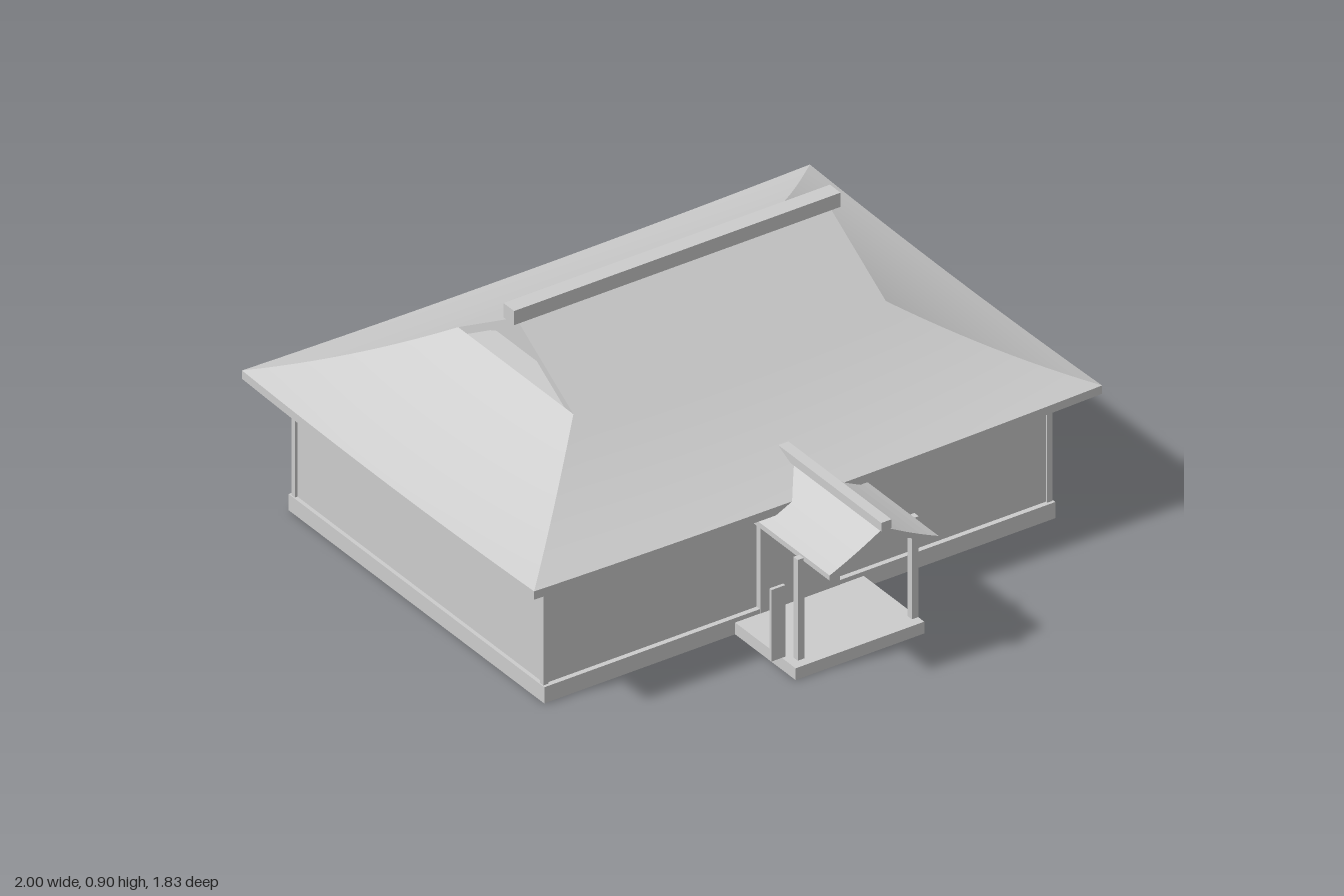
import * as THREE from 'three';

const HALF_RIDGE = 0.55;   // half length of the gabled top
const GABLE = 0.293;       // half depth of the gable
const SKIRT = 0.45;        // run of the hipped skirt
const THICK = 0.028;
const ROOF_Z = -0.173;

export function createModel() {
  const model = new THREE.Group();
  const grey = new THREE.MeshStandardMaterial({ color: 0xcccccc, side: THREE.DoubleSide });
  grey.name = 'plain grey';

  const add = (name, geometry, parent = model) => {
    const mesh = new THREE.Mesh(geometry, grey);
    mesh.name = name;
    parent.add(mesh);
    return mesh;
  };
  // Box given by its lower and upper limits
  const box = (name, x0, x1, y0, y1, z0, z1, parent) => {
    const mesh = add(name, new THREE.BoxGeometry(x1 - x0, y1 - y0, z1 - z0), parent);
    mesh.position.set((x0 + x1) / 2, (y0 + y1) / 2, (z0 + z1) / 2);
    return mesh;
  };
  // Smooth grid surface from a rule, u and v running 0..1
  const surface = (fn, nu, nv) => {
    const pos = [], idx = [];
    for (let j = 0; j <= nv; j++)
      for (let i = 0; i <= nu; i++) pos.push(...fn(i / nu, j / nv));
    for (let j = 0; j < nv; j++)
      for (let i = 0; i < nu; i++) {
        const a = j * (nu + 1) + i, b = a + nu + 1;
        idx.push(a, b, a + 1, a + 1, b, b + 1);
      }
    const g = new THREE.BufferGeometry();
    g.setAttribute('position', new THREE.Float32BufferAttribute(pos, 3));
    g.setIndex(idx);
    g.computeVertexNormals();
    return g;
  };

  // Plinth, walls and corner posts
  box('plinth', -0.9, 0.9, 0, 0.055, -0.823, 0.477);
  box('walls', -0.887, 0.887, 0.055, 0.45, -0.808, 0.46);
  for (const x of [-0.887, 0.887])
    for (const z of [-0.806, 0.458])
      box('cornerPost', x - 0.009, x + 0.009, 0.055, 0.45, z - 0.009, z + 0.009);

  // Door and window heads on the front wall
  box('door', -0.14, 0.14, 0.04, 0.38, 0.455, 0.478);
  for (const x of [-0.57, 0.57])
    box('windowHead', x - 0.155, x + 0.155, 0.358, 0.363, 0.455, 0.473);

  // Main roof: steep gabled top flowing into a concave hipped skirt
  const roof = new THREE.Group();
  roof.name = 'mainRoof';
  roof.position.z = ROOF_Z;
  model.add(roof);

  const height = (d, s) => {
    if (d <= 0) return 0.68 - 0.614 * d;
    const sag = 0.012 * (1 - s * s) * (d / SKIRT) ** 2;   // eaves lift at the corners
    return 0.68 - 0.64 * d + 0.35 * d * d - sag;
  };
  const frontPoint = (u, d, drop) => {
    const s = u * 2 - 1;
    return [s * (HALF_RIDGE + Math.max(d, 0)), height(d, s) - drop, GABLE + d];
  };
  const sidePoint = (u, d, drop) => {
    const s = u * 2 - 1;
    return [HALF_RIDGE + d, (d < 0 ? 0.68 : height(d, s)) - drop, -s * (GABLE + d)];
  };
  const run = (v, from) => from + v * (SKIRT - from);

  for (const turn of [0, Math.PI]) {
    const half = new THREE.Group();
    half.name = 'roofHalf';
    half.rotation.y = turn;
    roof.add(half);
    for (const drop of [0, THICK]) {
      const part = drop ? 'Soffit' : 'Slope';
      add('long' + part, surface((u, v) => frontPoint(u, run(v, 0), drop), 16, 12), half);
      add('upper' + part, surface((u, v) => frontPoint(u, -GABLE * (1 - v), drop), 1, 1), half);
      add('side' + part, surface((u, v) => sidePoint(u, run(v, 0), drop), 16, 12), half);
    }
    add('longFascia', surface((u, v) => frontPoint(u, SKIRT, v * THICK), 16, 1), half);
    add('sideFascia', surface((u, v) => sidePoint(u, SKIRT, v * THICK), 16, 1), half);
    for (const u of [0, 1])
      add('bargeBoard', surface((w, v) => frontPoint(u, -GABLE * (1 - w), v * THICK), 1, 1), half);
    // Ledge and recessed gable wall
    add('gableLedge', surface((u, v) => sidePoint(u, -0.08 * (1 - v), 0), 1, 1), half);
    const tri = new THREE.Shape([
      new THREE.Vector2(-GABLE, 0.665), new THREE.Vector2(GABLE, 0.665), new THREE.Vector2(0, 0.845),
    ]);
    const wall = add('gableWall', new THREE.ShapeGeometry(tri), half);
    wall.rotation.y = Math.PI / 2;
    wall.position.x = HALF_RIDGE - 0.08;

    // Hip rafters under the corners
    for (const s of [-1, 1]) {
      const path = new THREE.LineCurve3(
        new THREE.Vector3(0.85, 0.475, s * 0.593), new THREE.Vector3(0.985, 0.436, s * 0.728));
      add('hipRafter', new THREE.TubeGeometry(path, 1, 0.009, 4), half);
    }
  }
  box('ridgeBeam', -0.575, 0.575, 0.857, 0.905, -0.027, 0.027, roof);

  // Porch: slab, posts, small gabled roof and ridge cap
  const porch = new THREE.Group();
  porch.name = 'porch';
  model.add(porch);
  box('porchSlab', -0.228, 0.225, 0, 0.04, 0.47, 0.785, porch);
  for (const x of [-0.201, 0.201])
    box('porchPost', x - 0.012, x + 0.012, 0.055, 0.397, 0.752, 0.774, porch);

  const gable = new THREE.Shape();
  gable.moveTo(-0.192, 0.404);
  gable.quadraticCurveTo(-0.1, 0.443, 0, 0.501);
  gable.quadraticCurveTo(0.1, 0.443, 0.192, 0.404);
  gable.lineTo(0.192, 0.386);
  gable.quadraticCurveTo(0.1, 0.424, 0, 0.48);
  gable.quadraticCurveTo(-0.1, 0.424, -0.192, 0.386);
  gable.closePath();
  const porchRoof = add('porchRoof',
    new THREE.ExtrudeGeometry(gable, { depth: 0.5, bevelEnabled: false, curveSegments: 6 }), porch);
  porchRoof.position.z = 0.406;
  box('porchRidge', -0.018, 0.018, 0.498, 0.527, 0.39, 0.917, porch);

  // Upright board beside the porch
  box('signBoard', -0.298, -0.25, 0.077, 0.32, 0.753, 0.764);

  return model;
}
